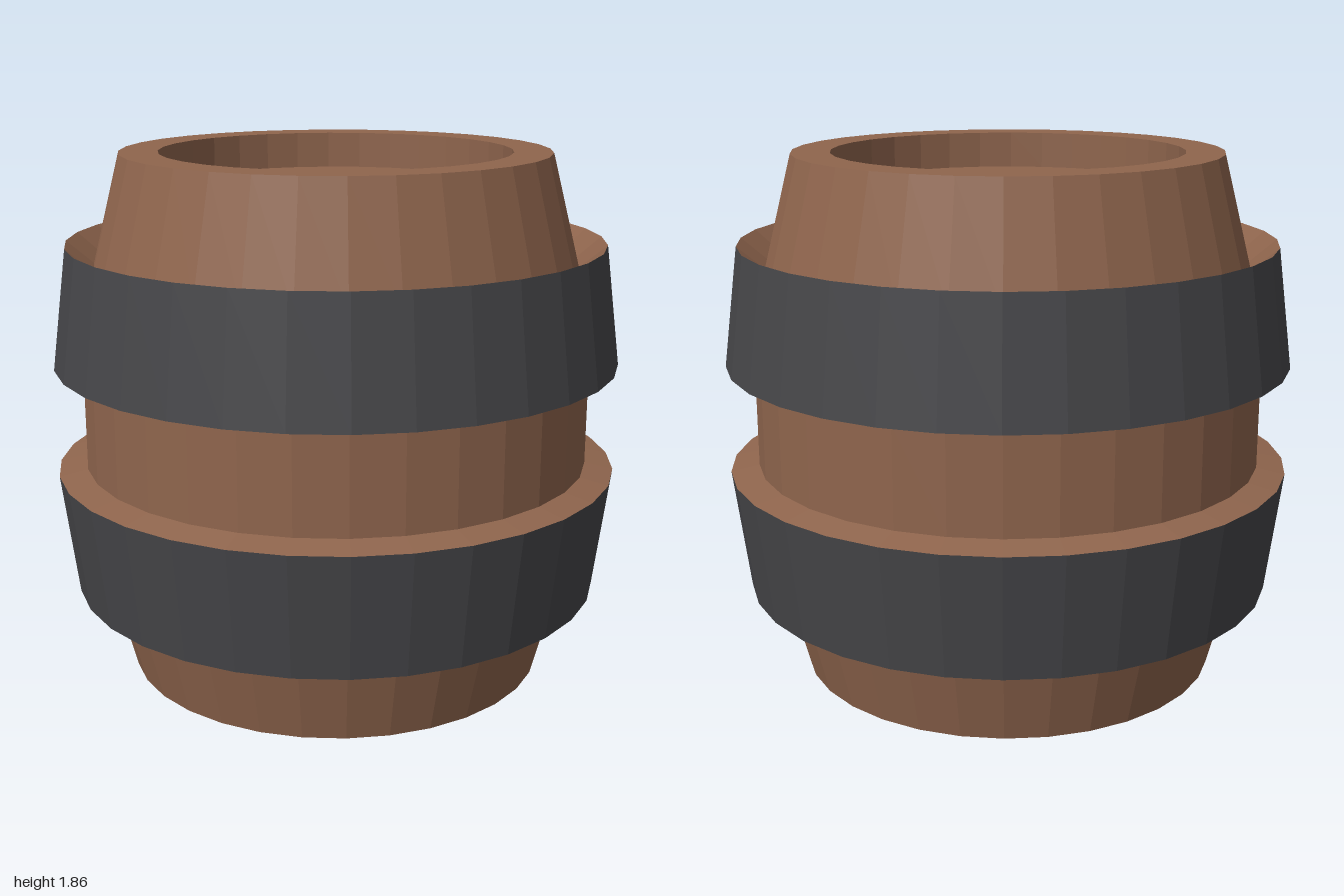
import * as THREE from 'three';

const SIDES = 32;

// Faceted ring turned from a [radius, height] profile, listed from bottom to top
function turned(name, profile, material) {
  const points = profile.map(([r, y]) => new THREE.Vector2(r, y));
  const geometry = new THREE.LatheGeometry(points, SIDES).toNonIndexed();
  geometry.computeVertexNormals();
  const mesh = new THREE.Mesh(geometry, material);
  mesh.name = name;
  return mesh;
}

export function createModel() {
  const wood = new THREE.MeshStandardMaterial({ color: 0x8f654d });
  wood.name = 'brown wood';
  const iron = new THREE.MeshStandardMaterial({ color: 0x464649 });
  iron.name = 'dark iron';

  const barrel = new THREE.Group();
  barrel.name = 'barrel';
  barrel.add(
    // Base with recessed underside, flaring out to the lower hoop's rim
    turned('lowerStaves', [[0, 0.14], [0.645, 0.14], [0.645, 0], [0.75, 0], [0.85, 0.39], [0.945, 0.31]], wood),
    turned('lowerHoop', [[0.945, 0.31], [1, 0.745]], iron),
    // Waist between the hoops, with the wooden ledges at both ends
    turned('middleStaves', [[1, 0.745], [0.9, 0.765], [0.9, 1.11], [1, 1.13]], wood),
    turned('upperHoop', [[1, 1.13], [0.945, 1.55]], iron),
    // Tapered top with recessed lid
    turned('upperStaves', [[0.945, 1.55], [0.85, 1.47], [0.75, 1.86], [0.615, 1.86], [0.615, 1.73], [0, 1.73]], wood),
  );
  return barrel;
}
